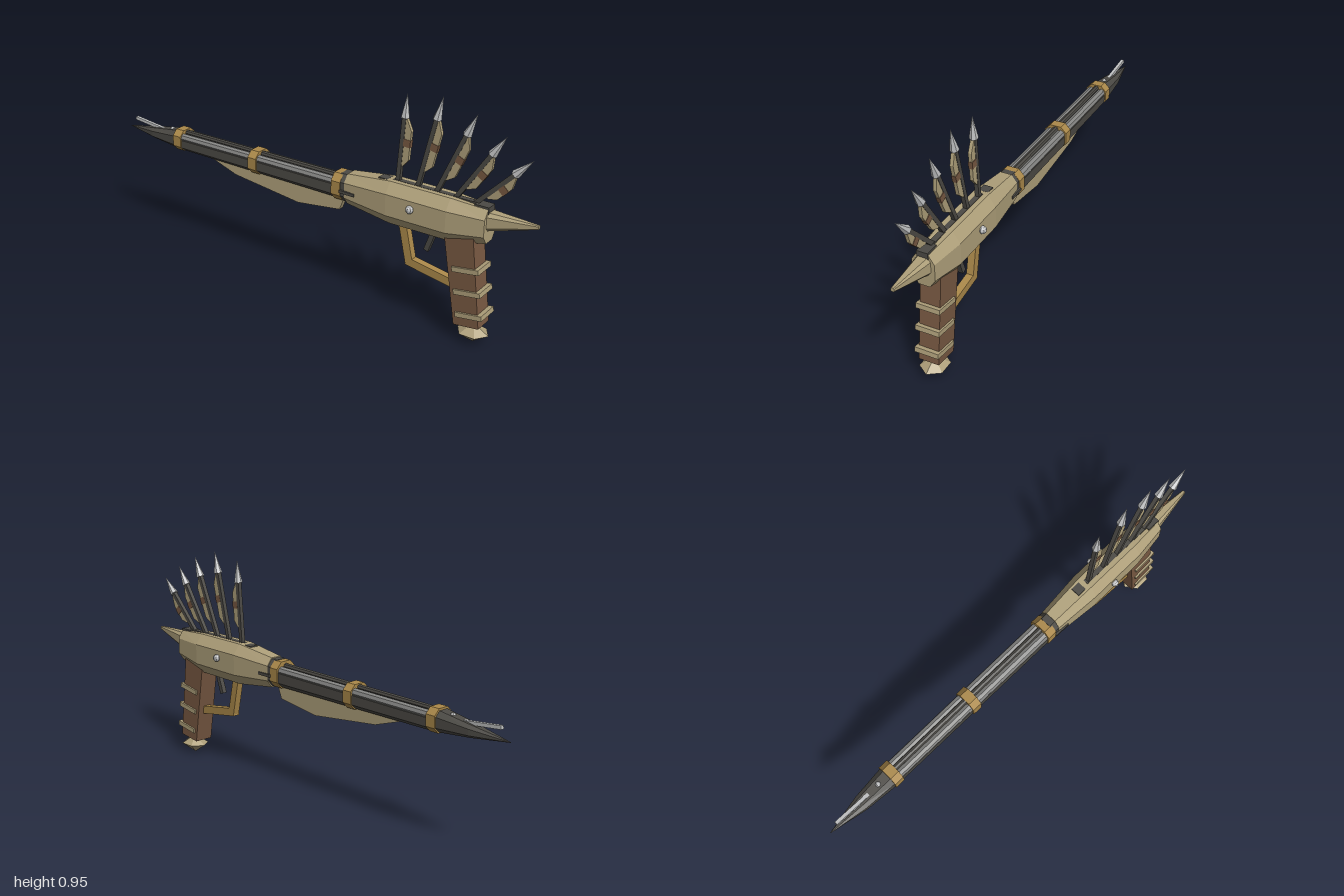
import * as THREE from 'three';

const material = (name, color) => Object.assign(new THREE.MeshStandardMaterial({ color, flatShading: true }), { name });
const bone = material('bone', 0xb0a17b);
const wood = material('brown wood', 0x785942);
const brass = material('brass', 0xab894a);
const iron = material('dark iron', 0x4c4a45);
const steel = material('steel', 0x868684);
const silver = material('silver', 0xc0c1c2);

// Chamfered octagon sections [z, halfWidth, yBottom, yTop], ordered from high z to low z
function loft(sections, cut = 0.5) {
  const rings = sections.map(([z, w, y0, y1]) => {
    const c = (y0 + y1) / 2, h = (y1 - y0) / 2;
    return [[1, -cut], [1, cut], [cut, 1], [-cut, 1], [-1, cut], [-1, -cut], [-cut, -1], [cut, -1]]
      .map(([x, y]) => [x * w, c + y * h, z]);
  });
  const pos = [], last = rings[rings.length - 1];
  const tri = (a, b, c) => pos.push(...a, ...b, ...c);
  for (let i = 0; i < rings.length - 1; i++) {
    for (let j = 0; j < 8; j++) {
      const k = (j + 1) % 8, a = rings[i], b = rings[i + 1];
      tri(a[j], b[j], a[k]);
      tri(b[j], b[k], a[k]);
    }
  }
  for (let j = 1; j < 7; j++) {
    tri(rings[0][0], rings[0][j], rings[0][j + 1]);
    tri(last[0], last[j + 1], last[j]);
  }
  const g = new THREE.BufferGeometry();
  g.setAttribute('position', new THREE.Float32BufferAttribute(pos, 3));
  g.computeVertexNormals();
  return g;
}

// Plate from a [z, y] outline, centred on x = 0
function plate(points, thickness) {
  const shape = new THREE.Shape(points.map(([z, y]) => new THREE.Vector2(-z, y)));
  const g = new THREE.ExtrudeGeometry(shape, { depth: thickness, bevelEnabled: false });
  return g.translate(0, 0, -thickness / 2).rotateY(Math.PI / 2);
}

export function createModel() {
  const model = new THREE.Group();
  model.name = 'spinedGun';

  const add = (name, geometry, mat, parent = model, x = 0, y = 0, z = 0) => {
    const m = new THREE.Mesh(geometry, mat);
    m.name = name;
    m.position.set(x, y, z);
    parent.add(m);
    return m;
  };
  // Box running between two points [z, y]
  const bar = (name, a, b, width, thick, mat, x = 0) => {
    const dz = b[0] - a[0], dy = b[1] - a[1];
    const m = add(name, new THREE.BoxGeometry(width, Math.hypot(dz, dy), thick), mat, model,
      x, (a[1] + b[1]) / 2, (a[0] + b[0]) / 2);
    m.rotation.x = Math.atan2(dz, dy);
    return m;
  };

  // Receiver and tail spike
  add('receiver', loft([
    [0.81, 0.046, 0.435, 0.57], [0.66, 0.063, 0.407, 0.58],
    [0.4, 0.063, 0.405, 0.58], [0.2, 0.048, 0.43, 0.556]]), bone);
  add('tailSpike', loft([[1, 0.007, 0.54, 0.555], [0.8, 0.032, 0.482, 0.558]], 0.6), bone);
  add('rearBlock', new THREE.BoxGeometry(0.046, 0.045, 0.06), iron, model, 0, 0.557, 0.783);
  add('topSlot', new THREE.BoxGeometry(0.022, 0.012, 0.36), iron, model, 0, 0.575, 0.58);
  add('frontBlock', new THREE.BoxGeometry(0.04, 0.012, 0.04), iron, model, 0, 0.572, 0.36);
  for (const s of [-1, 1]) {
    const bolt = add('sideBolt', new THREE.CylinderGeometry(0.011, 0.011, 0.02, 8), steel, model, s * 0.067, 0.505, 0.51);
    bolt.rotation.z = Math.PI / 2;
    add('boltHead', new THREE.SphereGeometry(0.016, 8, 6), silver, model, s * 0.068, 0.505, 0.51);
    bar('sidePin', [0.25, 0.487], [0.18, 0.487], 0.012, 0.012, iron, s * 0.05);
  }

  // Barrel: iron trough, steel side tubes and a top rib, with collar and brass bands
  add('collar', loft([[0.21, 0.047, 0.437, 0.552], [0.17, 0.047, 0.437, 0.552]]), iron);
  add('barrel', loft([[0.2, 0.044, 0.442, 0.527], [-0.7, 0.041, 0.447, 0.515]]), iron);
  for (const [x, y, r, mat] of [[-0.024, 0.509, 0.0195, steel], [0.024, 0.509, 0.0195, steel], [0, 0.526, 0.013, iron]]) {
    const tube = add('barrelTube', new THREE.CylinderGeometry(r * 0.92, r, 0.88, 8), mat, model, x, y, -0.25);
    tube.rotation.x = -Math.PI / 2 - 0.006;
  }
  [[0.16, 0.05, 0.438, 0.55], [-0.262, 0.049, 0.441, 0.541], [-0.68, 0.047, 0.445, 0.538]].forEach(([z, w, y0, y1]) =>
    add('barrelBand', loft([[z + 0.021, w, y0, y1], [z - 0.021, w, y0, y1]]), brass));

  // Muzzle spike and sight
  add('muzzleSpike', loft([
    [-0.7, 0.042, 0.449, 0.53], [-0.84, 0.031, 0.461, 0.508], [-1, 0.001, 0.479, 0.481]]), iron);
  bar('sightRod', [-0.74, 0.501], [-0.962, 0.525], 0.014, 0.014, silver);
  add('sightBead', new THREE.SphereGeometry(0.012, 8, 6), silver, model, 0, 0.518, -0.747);

  // Blade fin beneath the barrel
  add('underFin', plate([[0.18, 0.45], [0.155, 0.387], [-0.05, 0.361], [-0.38, 0.4], [-0.53, 0.45]], 0.024), bone);

  // Grip with bands and pommel, leaning back
  add('grip', plate([[0.768, 0.45], [0.812, 0.085], [0.706, 0.072], [0.648, 0.43]], 0.084), wood);
  for (const [y, z] of [[0.314, 0.745], [0.222, 0.757], [0.129, 0.77]]) {
    const band = add('gripBand', new THREE.BoxGeometry(0.1, 0.02, 0.112), bone, model, 0, y, z);
    band.rotation.x = -0.15;
  }
  const pommel = add('pommel', new THREE.LatheGeometry(
    [[0, 0], [0.066, 0.043], [0, 0.082]].map(([r, y]) => new THREE.Vector2(r, y)), 6), bone, model, 0, 0, 0.77);
  pommel.scale.x = 0.85;

  // Trigger and guard
  bar('trigger', [0.59, 0.43], [0.553, 0.325], 0.02, 0.02, iron);
  bar('guardFront', [0.448, 0.42], [0.485, 0.25], 0.03, 0.034, brass);
  bar('guardBottom', [0.47, 0.258], [0.7, 0.22], 0.03, 0.034, brass);

  // Five fanned spines: base z, tip z, tip y
  for (const [z0, z1, y1] of [[0.743, 0.96, 0.79], [0.663, 0.853, 0.855], [0.583, 0.735, 0.913], [0.503, 0.594, 0.95], [0.417, 0.444, 0.93]]) {
    const spine = new THREE.Group();
    spine.name = 'spine';
    spine.position.set(0, 0.57, z0);
    spine.rotation.x = Math.atan2(z1 - z0, y1 - 0.57);
    model.add(spine);
    const len = Math.hypot(z1 - z0, y1 - 0.57), top = len - 0.09;
    add('spineRod', new THREE.BoxGeometry(0.017, top + 0.04, 0.018), iron, spine, 0, top / 2 - 0.02, 0);
    add('spineTip', new THREE.ConeGeometry(0.018, 0.095, 6), silver, spine, 0, len - 0.0475, 0);
    // Vane on the rear side of the rod, with a wooden wrap
    const a = len * 0.2, b = top - 0.005;
    add('spineVane', plate([[-0.002, a], [-0.002, b], [0.012, b], [0.036, b - 0.045], [0.036, a + 0.03], [0.014, a]], 0.014), bone, spine);
    add('spineWrap', new THREE.BoxGeometry(0.018, 0.03, 0.03), wood, spine, 0, (a + b) / 2, 0.0225);
  }
  return model;
}
